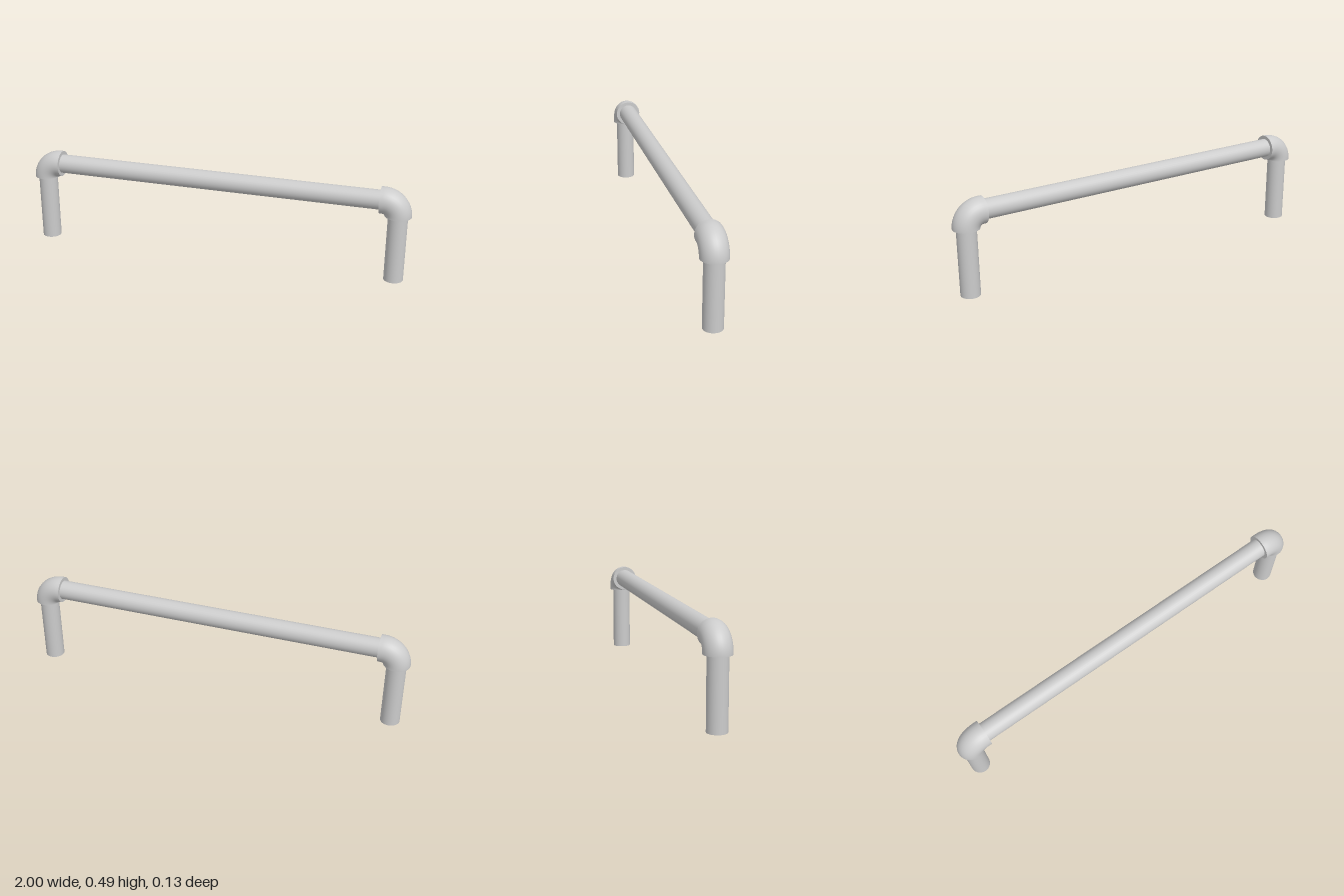
import * as THREE from 'three';

const PIPE_R = 0.049, ELBOW_R = 0.067, BEND = 0.075;
const LEG_X = 0.933, BAR_Y = 0.42;
const CUFF = 0.015; // straight sleeve where the elbow meets the bar

export function createModel() {
  const model = new THREE.Group();
  model.name = 'pipeRail';
  const material = new THREE.MeshStandardMaterial({ color: 0xcccccc });
  const open = new THREE.MeshStandardMaterial({ color: 0xcccccc, side: THREE.DoubleSide });

  const add = (parent, name, geometry, x, y, mat = material) => {
    const mesh = new THREE.Mesh(geometry, mat);
    mesh.name = name;
    mesh.position.set(x, y, 0);
    parent.add(mesh);
    return mesh;
  };

  // Horizontal bar, its ends tucked into the elbows
  const cx = LEG_X - BEND, cy = BAR_Y - BEND;
  add(model, 'bar', new THREE.CylinderGeometry(PIPE_R, PIPE_R, 2 * cx, 32).rotateZ(Math.PI / 2), 0, BAR_Y);

  // Leg and elbow, turned half a revolution for the other end
  for (const side of ['left', 'right']) {
    const end = new THREE.Group();
    end.name = side + 'End';
    if (side === 'right') end.rotation.y = Math.PI;
    model.add(end);

    add(end, side + 'Leg', new THREE.CylinderGeometry(PIPE_R, PIPE_R, cy, 32), LEG_X, cy / 2);

    // Quarter bend with a short sleeve on the bar side
    add(end, side + 'Elbow', new THREE.TorusGeometry(BEND, ELBOW_R, 32, 20, Math.PI / 2), cx, cy, open);
    const cuff = new THREE.CylinderGeometry(ELBOW_R, ELBOW_R, CUFF, 32, 1, true).rotateZ(Math.PI / 2);
    add(end, side + 'ElbowCuff', cuff, cx - CUFF / 2, BAR_Y, open);

    // Flat rims closing the elbow around the pipes
    const rim = () => new THREE.RingGeometry(PIPE_R, ELBOW_R, 32);
    add(end, side + 'LegRim', rim().rotateX(Math.PI / 2), LEG_X, cy, open);
    add(end, side + 'BarRim', rim().rotateY(-Math.PI / 2), cx - CUFF, BAR_Y, open);
  }
  return model;
}
